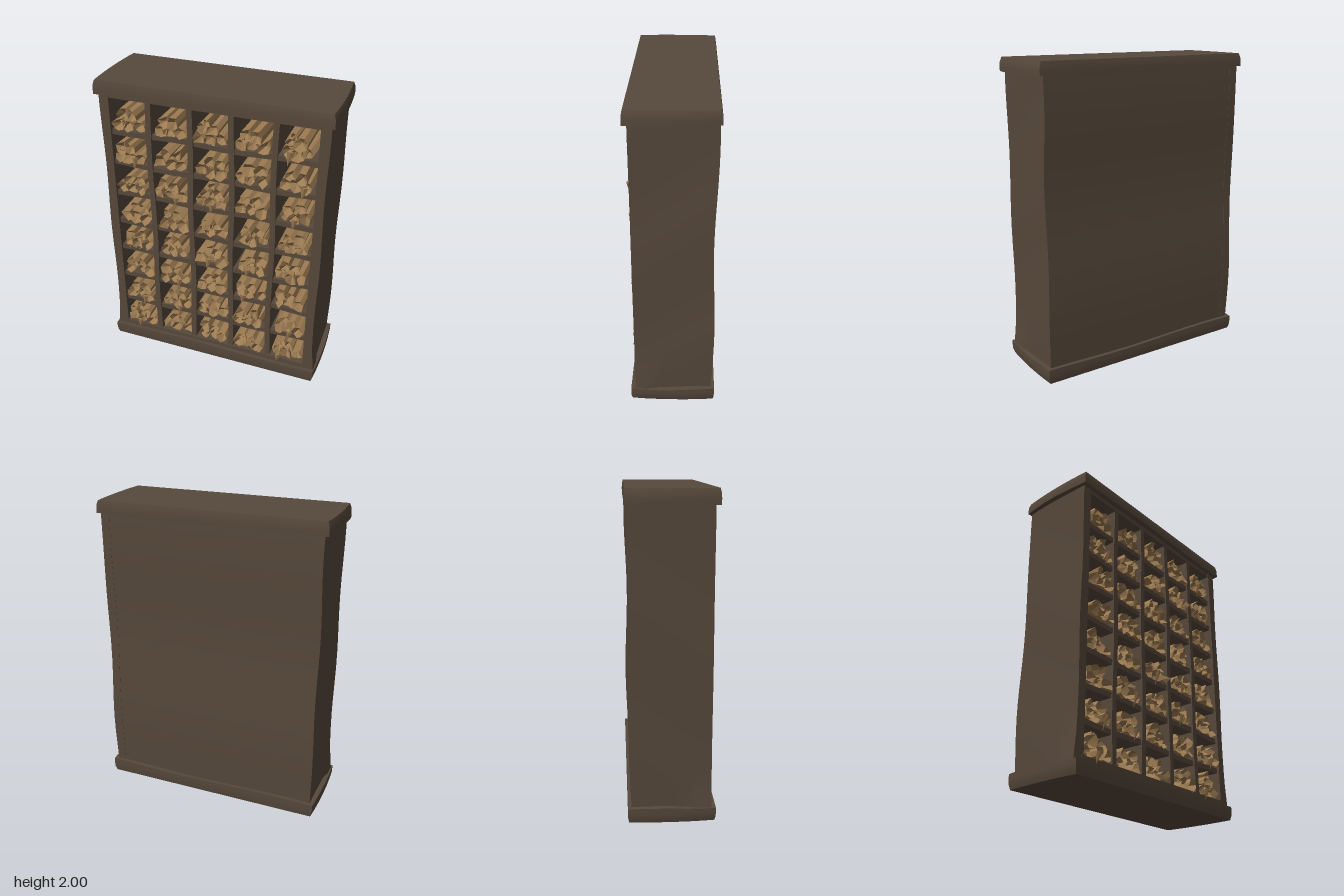
import * as THREE from 'three';
import { toCreasedNormals } from 'three/addons/utils/BufferGeometryUtils.js';

const wood = new THREE.MeshStandardMaterial({ color: 0x56483b });
wood.name = 'dark wood';
const paper = new THREE.MeshStandardMaterial({ color: 0x9c7b52, flatShading: true });
paper.name = 'aged parchment';

// Small seeded random generator
function seeded(seed) {
  let s = seed;
  return () => {
    s = (s * 16807) % 2147483647;
    return s / 2147483647;
  };
}

function moveVertices(geometry, rule) {
  const p = geometry.attributes.position;
  const v = new THREE.Vector3();
  for (let i = 0; i < p.count; i++) {
    rule(v.fromBufferAttribute(p, i));
    p.setXYZ(i, v.x, v.y, v.z);
  }
  geometry.computeVertexNormals();
  return geometry;
}

// Box given by its min and max corners, warped by a rule like hand-cut timber
function plank(name, min, max, segments, rule) {
  const size = max.map((m, i) => m - min[i]);
  const g = new THREE.BoxGeometry(...size, ...segments);
  g.translate(...min.map((m, i) => (m + max[i]) / 2));
  const mesh = new THREE.Mesh(toCreasedNormals(moveVertices(g, rule), 0.7), wood);
  mesh.name = name;
  return mesh;
}

// Overhanging slab with ends that bow out and softened outer edges
function slab(name, y0, y1, softTop) {
  return plank(name, [-0.765, y0, -0.28], [0.765, y1, 0.257], [10, 3, 6], (v) => {
    const outer = softTop ? (v.y - y0) / (y1 - y0) : (y1 - v.y) / (y1 - y0);
    const inset = 0.012 * Math.max(0, outer - 0.6) / 0.4;
    const bow = 0.012 * (v.z / 0.27) ** 2;
    const sx = Math.sign(v.x) * (Math.abs(v.x) > 0.7 ? 1 : 0);
    v.x -= sx * (bow + inset);
    if (Math.abs(v.z) > 0.2) v.z -= Math.sign(v.z) * inset * 0.6;
    if (outer < 0.1) v.y += 0.006 * Math.sin(v.x * 5 + v.z * 9);
  });
}

// One crumpled roll lying along z, with a ragged hollow front end
function roll(x, y, radius, front, rand) {
  const back = -0.19;
  const sides = 7;
  const g = new THREE.CylinderGeometry(radius, radius, front - back, sides, 2);
  g.rotateX(Math.PI / 2);
  g.translate(0, 0, (front + back) / 2);
  const dents = Array.from({ length: sides }, () => [0.75 + rand() * 0.5, rand() * 0.045 - 0.03]);
  const lean = (rand() - 0.5) * 0.02;
  return moveVertices(g, (v) => {
    const r = Math.hypot(v.x, v.y);
    const atFront = v.z > front - 0.01;
    if (r < 0.001) {
      if (atFront) v.z -= 0.05;
    } else {
      const k = Math.round((Math.atan2(v.y, v.x) / (2 * Math.PI) + 1) * sides) % sides;
      v.x *= dents[k][0];
      v.y *= dents[k][0];
      if (atFront) v.z += dents[k][1];
    }
    v.x += x + lean * (v.z / 0.2);
    v.y += y;
  });
}

// Torn corner of parchment folding over the shelf edge
function flap(x, y, length) {
  const g = new THREE.ConeGeometry(0.022, length, 4, 1);
  g.rotateX(Math.PI);
  return moveVertices(g, (v) => {
    v.z = v.z * 0.4 + 0.238 + v.y * 0.15;
    v.x += x + v.y * 0.2;
    v.y += y;
  });
}

export function createModel() {
  const model = new THREE.Group();
  model.name = 'scrollShelf';

  // Top and base slabs
  model.add(slab('topSlab', 1.915, 2.0, true), slab('baseSlab', 0, 0.092, false));

  // Side walls, flaring where they meet the base
  for (const side of [-1, 1]) {
    const x0 = side < 0 ? -0.73 : 0.67;
    model.add(plank(side < 0 ? 'rightWall' : 'leftWall', [x0, 0.06, -0.262], [x0 + 0.06, 1.94, 0.23], [2, 20, 6], (v) => {
      const outside = Math.abs(v.x) > 0.72;
      if (outside) {
        v.x += side * 0.004 * Math.sin(v.y * 7 + v.z * 5);
        if (v.z > 0.1) v.x += side * 0.022 * Math.max(0, 1 - v.y / 0.26);
      }
      if (v.z < -0.2) v.z += 0.009 * Math.sin(v.y * 5 - 4.2);
    }));
  }

  // Back panel
  model.add(plank('backPanel', [-0.715, 0.06, -0.26], [0.715, 1.94, -0.2], [8, 20, 1], (v) => {
    if (v.z < -0.22) v.z += 0.009 * Math.sin(v.y * 5 - 4.2);
  }));

  // Bottom and top rails
  const still = () => {};
  model.add(plank('bottomRail', [-0.69, 0.07, -0.21], [0.69, 0.122, 0.232], [1, 1, 1], still));
  model.add(plank('topRail', [-0.69, 1.885, -0.21], [0.69, 1.94, 0.225], [1, 1, 1], still));

  const columns = 5, rows = 8, pitchX = 0.273, pitchY = 0.2215, floorY = 0.122;

  // Upright dividers
  for (let i = 1; i < columns; i++) {
    const x = (i - columns / 2) * pitchX;
    model.add(plank('uprightDivider', [x - 0.018, 0.1, -0.21], [x + 0.018, 1.9, 0.222], [1, 16, 1], (v) => {
      v.x += 0.005 * Math.sin(v.y * 6 + i * 2);
    }));
  }

  // Shelves
  for (let j = 1; j < rows; j++) {
    const y = floorY + j * pitchY;
    model.add(plank('shelf', [-0.69, y - 0.034, -0.21], [0.69, y, 0.212], [20, 1, 1], (v) => {
      v.y += 0.006 * Math.sin(v.x * 9 + j * 2.3);
    }));
  }

  // Piles of rolled scrolls, one in each pigeonhole
  const rand = seeded(4721);
  for (let j = 0; j < rows; j++) {
    for (let i = 0; i < columns; i++) {
      const pile = new THREE.Group();
      pile.name = 'scrollPile';
      pile.position.set((i - 2) * pitchX, floorY + j * pitchY, 0);
      const add = (g) => {
        const mesh = new THREE.Mesh(g, paper);
        mesh.name = 'scroll';
        pile.add(mesh);
      };
      const front = () => 0.21 + rand() * 0.03;
      for (let k = -1; k <= 1; k++) {
        add(roll(k * 0.066 + (rand() - 0.5) * 0.012, 0.04, 0.038 + rand() * 0.006, front(), rand));
      }
      const shift = (rand() - 0.5) * 0.05;
      for (const k of [-1, 1]) {
        add(roll(k * 0.034 + shift, 0.094 + rand() * 0.012, 0.034 + rand() * 0.008, front(), rand));
      }
      if (rand() < 0.25) add(roll(shift, 0.14, 0.024, front(), rand));
      if (rand() < 0.3) add(flap((rand() - 0.5) * 0.12, 0.005, 0.07 + rand() * 0.04));
      model.add(pile);
    }
  }
  return model;
}
